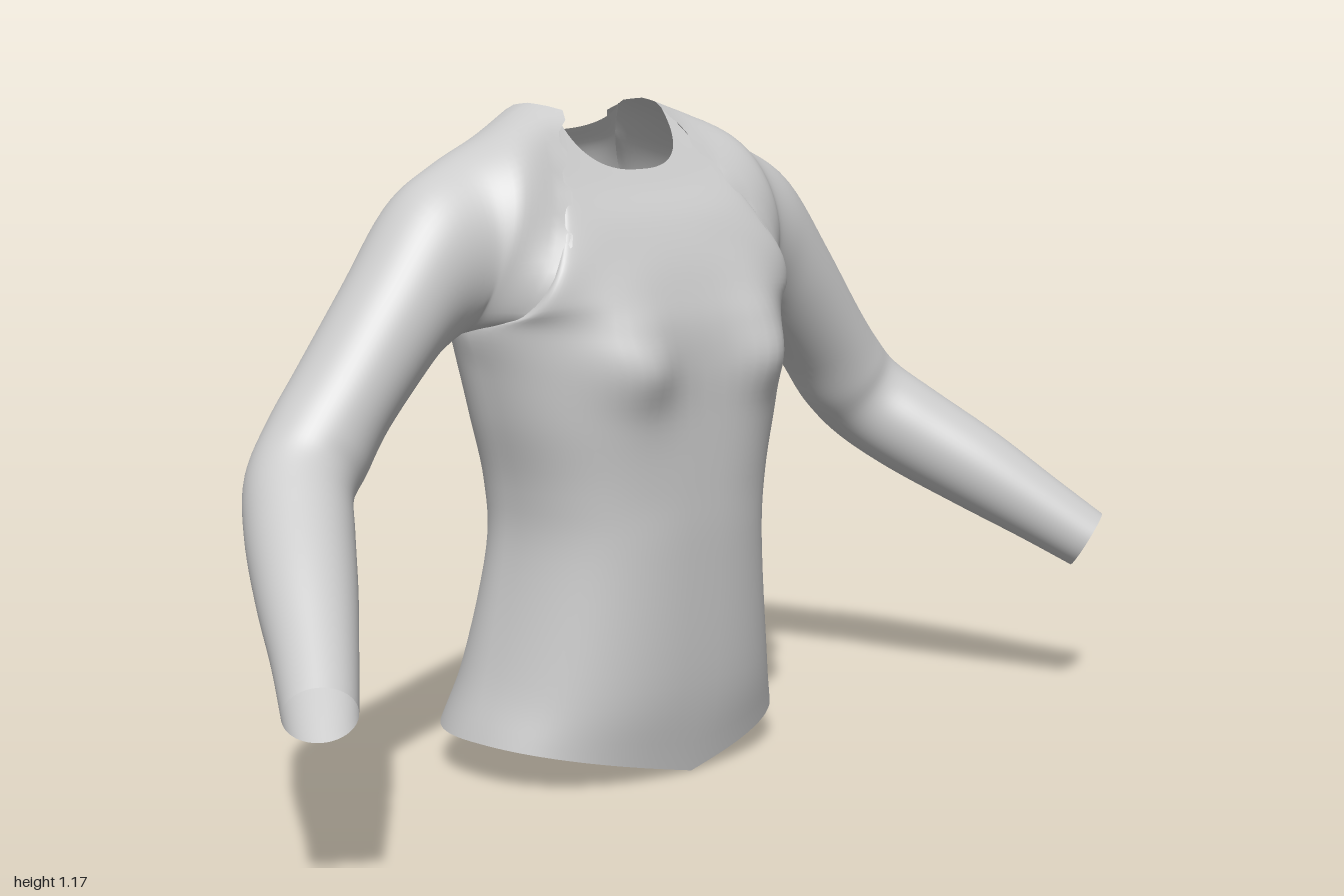
import * as THREE from 'three';
import { mergeVertices } from 'three/addons/utils/BufferGeometryUtils.js';

const V = (x, y, z) => new THREE.Vector3(x, y, z);
const material = new THREE.MeshStandardMaterial({ color: 0xcccccc, side: THREE.DoubleSide });
const ARMPIT = 6; // row where the body splits into front and back panels
const SUB = 6;    // smooth steps between two rows

// Torso rows from hem to neck: edge y, edge x, edge z, middle y, middle z, bulge
const sides = [
  [.08, .33, -.08], [.2, .295, -.08], [.4, .262, -.07], [.52, .268, -.06],
  [.64, .297, -.06], [.73, .315, -.07], [.8, .33, -.08],
];
const frontSeam = [[.83, .31, .035], [.9, .275, .078], [1.0, .22, .045], [1.09, .17, -.02], [1.165, .13, -.08]];
const backSeam = [[.85, .3, -.215], [.94, .265, -.265], [1.02, .22, -.27], [1.1, .17, -.235], [1.165, .135, -.19]];
const frontMid = [
  [.005, .13, 0], [.17, .155, 0], [.4, .165, 0], [.52, .166, 0], [.64, .165, .012], [.73, .163, .045],
  [.8, .155, .03], [.86, .135, .012], [.92, .108, 0], [.98, .07, 0], [1.03, .025, 0], [1.06, 0, 0],
];
const backMid = [
  [.08, -.315, .025], [.2, -.262, .018], [.4, -.213, .012], [.52, -.218, .014], [.64, -.235, .022], [.73, -.25, .03],
  [.8, -.262, .035], [.86, -.27, .03], [.94, -.277, .018], [1.01, -.265, .01], [1.08, -.243, 0], [1.12, -.215, 0],
];

// One half cross-section, running from the left edge to the right edge
function halfRow(edge, mid, power, hem, cols = 40) {
  const [ey, ex, ez] = edge, [my, mz, bulge] = mid, row = [];
  for (let j = 0; j <= cols; j++) {
    const t = (j / cols - .5) * Math.PI;
    const s = Math.pow(Math.abs(Math.sin(t)), power);
    const c = Math.pow(Math.max(Math.cos(t), 0), power);
    const x = -Math.sign(t) * ex * s;
    const b = bulge * Math.exp(-(((Math.abs(x) - .16) / .075) ** 2)) * c;
    const y = hem ? my + (ey - my) * s : ey + (my - ey) * c;
    row.push(V(x, y, ez + (mz - ez) * c + Math.sign(mz - ez) * b));
  }
  return row;
}

// Smooth the rows lengthwise with a curve through every column
function refine(rows) {
  const steps = (rows.length - 1) * SUB;
  const cols = rows[0].map((_, j) => new THREE.CatmullRomCurve3(rows.map(r => r[j]), false, 'catmullrom', .5));
  return Array.from({ length: steps + 1 }, (_, i) => cols.map(c => c.getPoint(i / steps)));
}

// Skin several grids of points as one surface with shared smooth normals
function skin(grids, name) {
  const pos = [], index = [];
  for (const grid of grids) {
    const base = pos.length / 3, n = grid[0].length;
    grid.forEach(row => row.forEach(p => pos.push(p.x, p.y, p.z)));
    for (let i = 0; i < grid.length - 1; i++) {
      for (let j = 0; j < n - 1; j++) {
        const a = base + i * n + j, b = a + n;
        index.push(a, b, b + 1, a, b + 1, a + 1);
      }
    }
  }
  let geo = new THREE.BufferGeometry();
  geo.setAttribute('position', new THREE.Float32BufferAttribute(pos, 3));
  geo.setIndex(index);
  geo = mergeVertices(geo, 1e-5);
  geo.computeVertexNormals();
  const mesh = new THREE.Mesh(geo, material);
  mesh.name = name;
  return mesh;
}

function makeTorso() {
  const front = refine([...sides, ...frontSeam].map((e, i) => halfRow(e, frontMid[i], .77, i === 0)));
  const back = refine([...sides, ...backSeam].map((e, i) => halfRow(e, backMid[i], .88, i === 0)).map(r => r.reverse()));
  // join the two halves along the side seams below the armpit
  const last = front[0].length - 1;
  for (let i = 0; i <= ARMPIT * SUB; i++) {
    for (const j of [0, last]) {
      const p = front[i][j].clone().lerp(back[i][last - j], .5);
      front[i][j].copy(p);
      back[i][last - j].copy(p);
    }
  }
  return skin([front, back], 'torso');
}

function makeSleeve() {
  const half = 28;
  // raglan seam: up the front from the armpit, over the shoulder, down the back
  const point = ([y, x, z]) => V(x, y, z);
  const top = V(.14, 1.175, -.135), armpit = point(sides[ARMPIT]);
  const up = new THREE.CatmullRomCurve3([armpit, ...frontSeam.map(point), top]).getSpacedPoints(half);
  const down = new THREE.CatmullRomCurve3([armpit, ...backSeam.map(point), top]).getSpacedPoints(half).reverse();
  const rows = [[...up, ...down.slice(1)]];

  // Sleeve sections: upper point, lower point, half depth
  const sections = [
    [V(.24, 1.133, -.12), V(.35, .79, -.1), .148],
    [V(.34, 1.088, -.115), V(.37, .785, -.1), .122],
    [V(.445, 1.03, -.105), V(.395, .77, -.1), .107],
    [V(.55, .9, -.1), V(.43, .745, -.1), .1],
    [V(.65, .77, -.1), V(.525, .645, -.1), .095],
  ];
  const lower = [
    [.645, .635, -.095, .092], [.7, .575, -.075, .09], [.755, .515, -.005, .088],
    [.825, .442, .1, .08], [.89, .37, .2, .067], [.945, .31, .28, .058],
  ];
  for (const [x, y, z, r] of lower) {
    const d = r * Math.SQRT1_2;
    sections.push([V(x + d, y + d, z), V(x - d, y - d, z), r]);
  }
  const centres = sections.map(([t, b]) => t.clone().lerp(b, .5));
  sections.forEach(([t, b, depth], i) => {
    const c = centres[i];
    const next = centres[Math.min(i + 1, centres.length - 1)];
    const prev = i ? centres[i - 1] : V(.235, .985, -.1);
    const a = t.clone().sub(b).multiplyScalar(.5);
    const side = next.clone().sub(prev).cross(a).normalize().multiplyScalar(depth);
    rows.push(Array.from({ length: half * 2 + 1 }, (_, j) => {
      const f = j / half * Math.PI;
      return c.clone().addScaledVector(a, -Math.cos(f)).addScaledVector(side, Math.sin(f));
    }));
  });
  const grid = refine(rows);
  grid.forEach(r => r[half * 2].copy(r[0]));

  // jagged seam edge, alternately stepping over the torso
  grid[0].forEach((p, j) => {
    if (j % 4 < 2 && j > 2 && j < half * 2 - 2 && Math.abs(j - half) > 2) {
      p.add(p.clone().sub(grid[1][j]).setLength(.014));
      p.z += j < half ? .004 : -.004;
    }
  });
  return skin([grid], 'leftSleeve');
}

export function createModel() {
  const group = new THREE.Group();
  group.name = 'longSleeveTop';
  const left = makeSleeve();
  const right = left.clone();
  right.name = 'rightSleeve';
  right.scale.x = -1;
  group.add(makeTorso(), left, right);
  return group;
}
